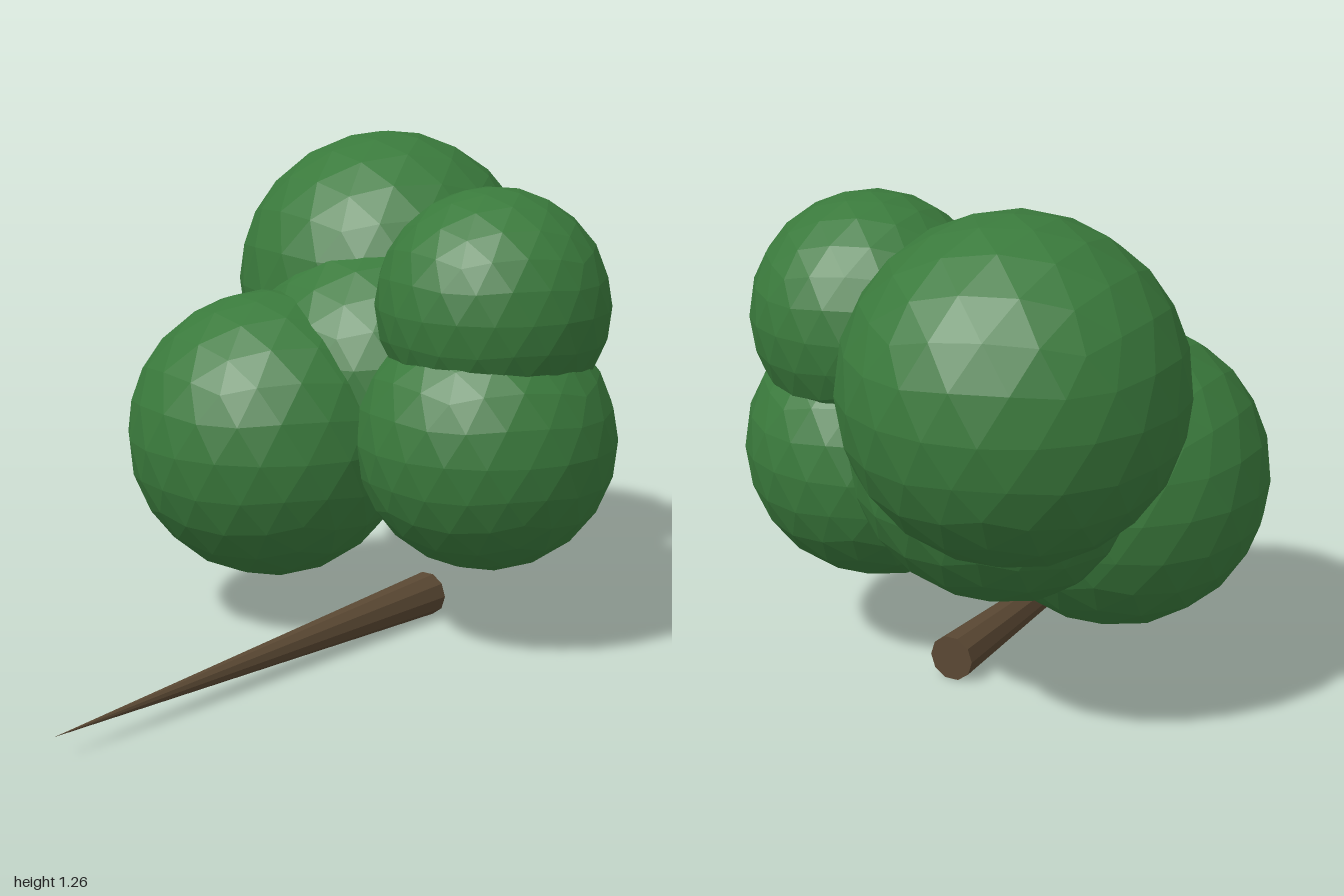
import * as THREE from 'three';

export function createModel() {
  const model = new THREE.Group();
  model.name = 'tree';

  const leafMaterial = new THREE.MeshStandardMaterial({ color: 0x3a7a3c, flatShading: true });
  const barkMaterial = new THREE.MeshStandardMaterial({ color: 0x5a4833, flatShading: true });

  // Low-poly leaf ball, turned so that one corner of the icosahedron points up
  const ball = new THREE.IcosahedronGeometry(1, 3);
  ball.rotateZ(-Math.atan(2 / (1 + Math.sqrt(5))));

  // Foliage: overlapping balls [name, x, y, z, radius]
  const foliage = new THREE.Group();
  foliage.name = 'foliage';
  const clumps = [
    ['backFoliage', -0.24, 0.855, -0.595, 0.405],
    ['frontFoliage', -0.263, 0.507, -0.125, 0.377],
    ['upperLeftFoliage', 0.305, 0.885, -0.32, 0.299],
    ['lowerLeftFoliage', 0.305, 0.545, -0.295, 0.336],
    ['middleFoliage', -0.1, 0.63, -0.385, 0.375],
  ];
  for (const [name, x, y, z, radius] of clumps) {
    const clump = new THREE.Mesh(ball, leafMaterial);
    clump.name = name;
    clump.position.set(x, y, z);
    clump.scale.setScalar(radius);
    foliage.add(clump);
  }
  model.add(foliage);

  // Trunk: a long ten-sided spike lying along z, tip to the front
  const tipZ = 1;
  const baseZ = -0.412;
  const spike = new THREE.ConeGeometry(0.058, tipZ - baseZ, 10, 1, false, Math.PI / 2);
  spike.rotateX(Math.PI / 2);
  const trunk = new THREE.Mesh(spike, barkMaterial);
  trunk.name = 'trunk';
  trunk.position.set(0.042, 0.056, (tipZ + baseZ) / 2);
  model.add(trunk);

  return model;
}
